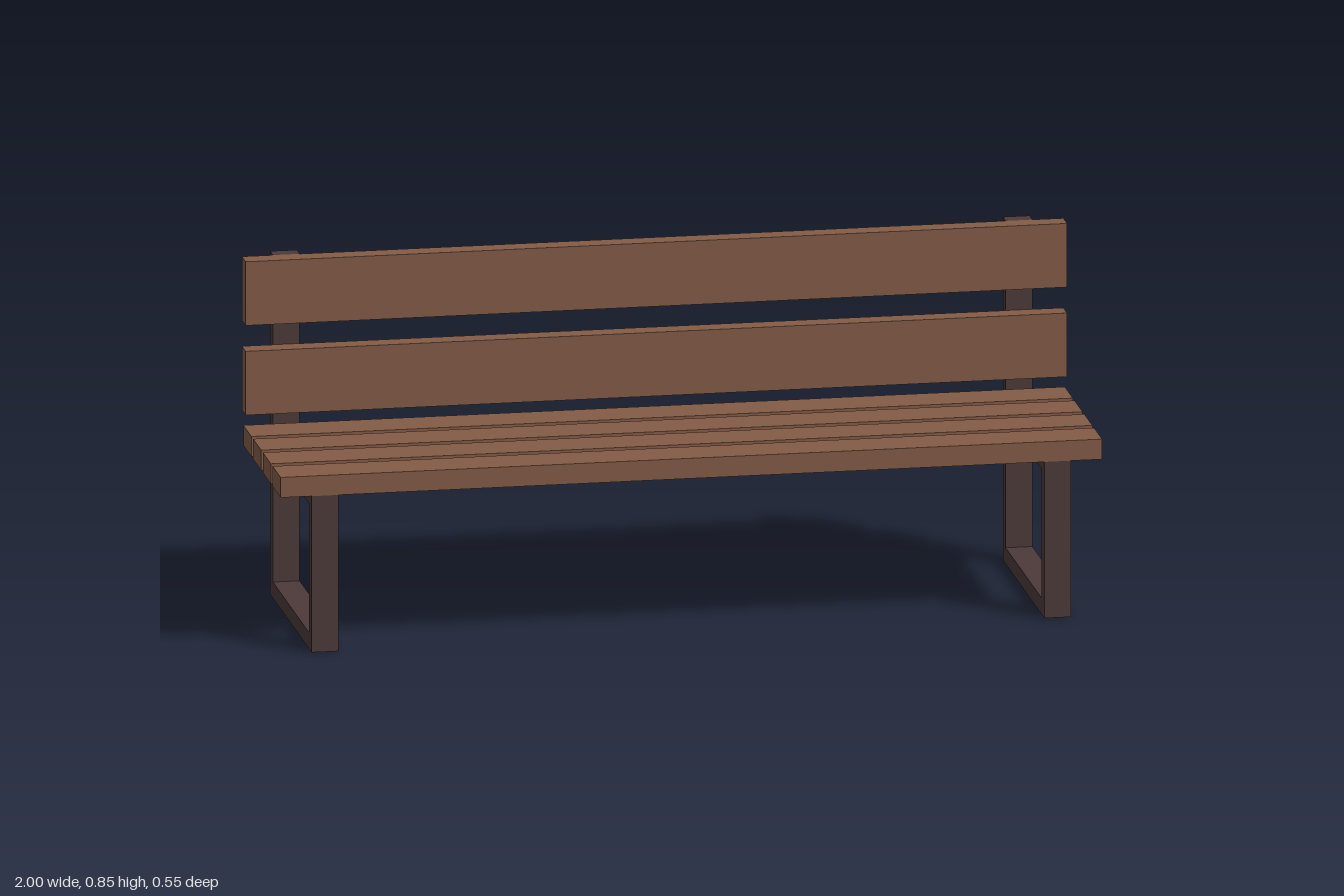
import * as THREE from 'three';

const wood = new THREE.MeshStandardMaterial({ color: 0x835b47 });
const metal = new THREE.MeshStandardMaterial({ color: 0x4d3a3a });

const FRONT = 0.277, BACK = -0.277, INNER = 0.239;
const RAIL_TOP = 0.387, TOP = 0.85;

// Closed side frame: front leg, floor rail, seat rail and tall back post in one outline
function frameGeometry(width) {
  const shape = new THREE.Shape([
    [-FRONT, 0], [-BACK, 0], [-BACK, TOP], [INNER, TOP], [INNER, RAIL_TOP], [-FRONT, RAIL_TOP],
  ].map(([u, y]) => new THREE.Vector2(u, y)));
  shape.holes.push(new THREE.Path([
    [-INNER, 0.04], [-INNER, 0.36], [INNER, 0.36], [INNER, 0.04],
  ].map(([u, y]) => new THREE.Vector2(u, y))));
  // Outline runs front to back along u, so turn u to -z
  return new THREE.ExtrudeGeometry(shape, { depth: width, bevelEnabled: false })
    .translate(0, 0, -width / 2)
    .rotateY(Math.PI / 2);
}

function plank(name, height, depth, y, z) {
  const mesh = new THREE.Mesh(new THREE.BoxGeometry(2, height, depth), wood);
  mesh.name = name;
  mesh.position.set(0, y, z);
  return mesh;
}

export function createModel() {
  const bench = new THREE.Group();
  bench.name = 'bench';

  // Side frames
  const geometry = frameGeometry(0.065);
  for (const [name, side] of [['leftFrame', 1], ['rightFrame', -1]]) {
    const frame = new THREE.Mesh(geometry, metal);
    frame.name = name;
    frame.position.x = side * 0.892;
    bench.add(frame);
  }

  // Seat slats, front to back
  for (let i = 0; i < 4; i++) {
    bench.add(plank(`seatSlat${i + 1}`, 0.05, 0.107, RAIL_TOP + 0.025, 0.2235 - i * 0.13));
  }

  // Backrest boards, fixed to the front of the posts
  [0.549, 0.771].forEach((y, i) => {
    bench.add(plank(`backBoard${i + 1}`, 0.158, 0.05, y, -INNER + 0.025));
  });

  return bench;
}
